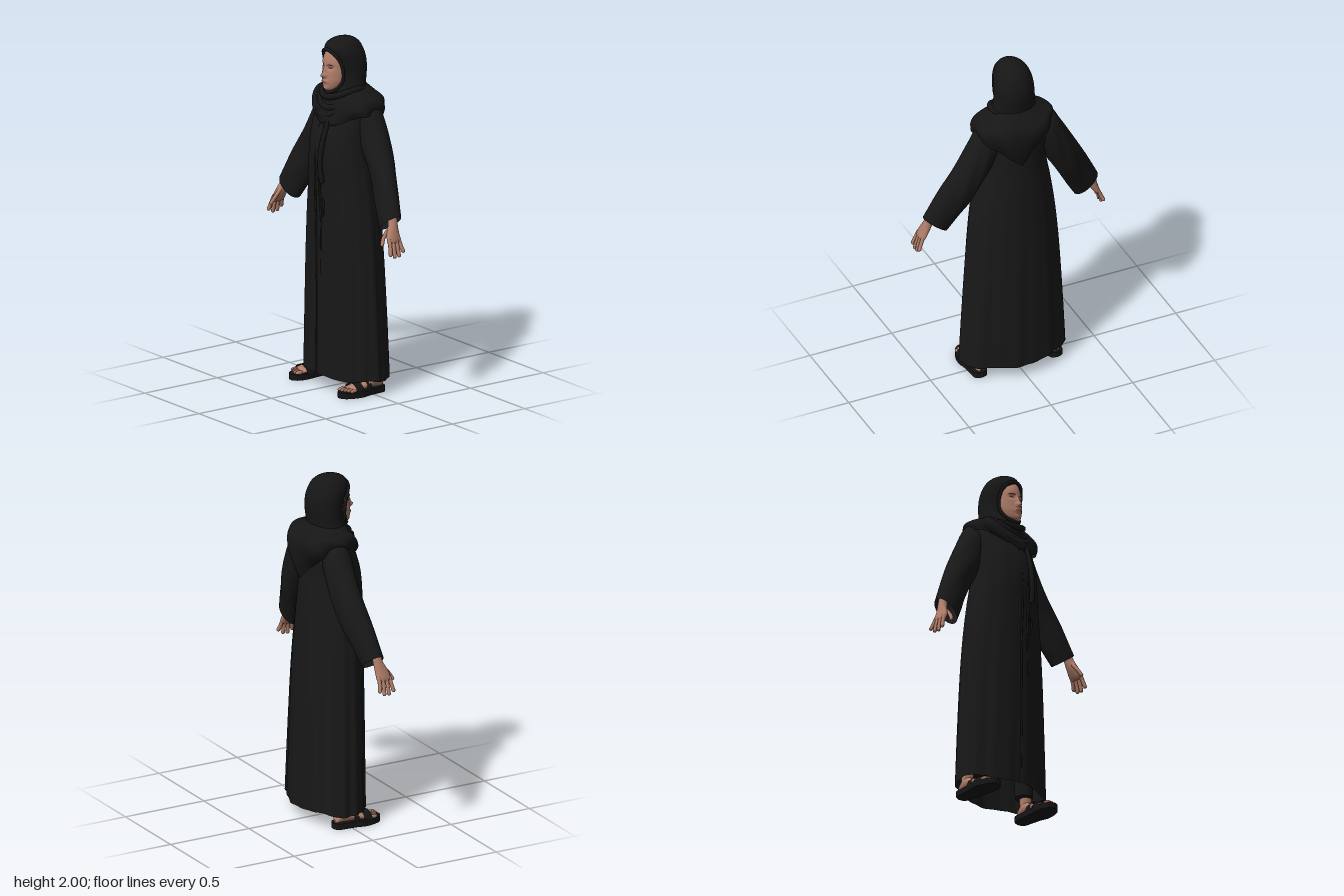
import * as THREE from 'three';

const V = (x, y, z) => new THREE.Vector3(x, y, z);
const paint = (name, color) => {
  const m = new THREE.MeshStandardMaterial({ color, side: THREE.DoubleSide });
  m.name = name;
  return m;
};

// Smoothly resample a short table of rows into n + 1 rows
function smooth(rows, n) {
  const at = i => rows[Math.min(Math.max(i, 0), rows.length - 1)];
  return Array.from({ length: n + 1 }, (_, k) => {
    const f = k / n * (rows.length - 1), i = Math.min(Math.floor(f), rows.length - 2), t = f - i;
    return at(i).map((b, c) => {
      const a = at(i - 1)[c], d = at(i + 1)[c], e = at(i + 2)[c];
      return b + 0.5 * t * (d - a + t * (2 * a - 5 * b + 4 * d - e + t * (3 * (b - d) + e - a)));
    });
  });
}

// Skin a surface over rows of points; point(row, angle, v) gives each vertex
function loft(rows, n, point) {
  const pos = [], idx = [];
  rows.forEach((row, j) => {
    for (let i = 0; i < n; i++) {
      pos.push(...point(row, i / n * Math.PI * 2, j / (rows.length - 1)));
      if (j === 0) continue;
      const a = (j - 1) * n + i, b = (j - 1) * n + (i + 1) % n;
      idx.push(a, b, a + n, b, b + n, a + n);
    }
  });
  const g = new THREE.BufferGeometry();
  g.setAttribute('position', new THREE.Float32BufferAttribute(pos, 3));
  g.setIndex(idx);
  g.computeVertexNormals();
  return g;
}

// Horizontal ring: half width, front z, back z; angle 90 degrees is the front
const ringXZ = (rx, zf, zb, a, k = 1) => {
  const round = v => Math.sign(v) * Math.pow(Math.abs(v), k);
  return [rx * round(Math.cos(a)), (zf + zb) / 2 + (zf - zb) / 2 * round(Math.sin(a))];
};

// Ring across a limb: outer edge x y, inner edge x y, centre z, half depth
const limbRing = ([ox, oy, ix, iy, cz, rz], a) => {
  const c = Math.cos(a) / 2;
  return [(ox + ix) / 2 + c * (ox - ix), (oy + iy) / 2 + c * (oy - iy), cz + rz * Math.sin(a)];
};

const tube = (pts, r, closed = false, seg = 40) =>
  new THREE.TubeGeometry(new THREE.CatmullRomCurve3(pts, closed), seg, r, 8, closed);

// Face relief: y, half width, front z
const faceRows = smooth([[1.945, 0.045, 0.104], [1.92, 0.066, 0.117], [1.88, 0.081, 0.128], [1.84, 0.086, 0.129],
  [1.80, 0.085, 0.131], [1.76, 0.078, 0.134], [1.72, 0.06, 0.13], [1.695, 0.035, 0.105]], 48);
const bump = (x, y, cx, cy, sx, sy) => Math.exp(-(((x - cx) / sx) ** 2) - ((y - cy) / sy) ** 2);
function faceZ(x, y) {
  const row = faceRows.reduce((p, q) => Math.abs(q[0] - y) < Math.abs(p[0] - y) ? q : p);
  const s = Math.min(Math.abs(x / row[1]), 1);
  return row[2] - 0.1 * (1 - Math.sqrt(1 - s * s))
    + 0.028 * bump(x, y, 0, 1.797, 0.014, 0.013) + 0.016 * bump(x, y, 0, 1.824, 0.01, 0.024)
    - 0.01 * bump(Math.abs(x), y, 0.032, 1.843, 0.018, 0.012)
    + 0.008 * bump(x, y, 0, 1.762, 0.026, 0.011) + 0.005 * bump(x, y, 0, 1.722, 0.02, 0.012);
}
function facePatch(cx, cy, w, h, bend = 0) {
  const g = new THREE.CircleGeometry(1, 18), p = g.attributes.position;
  for (let i = 0; i < p.count; i++) {
    const u = p.getX(i), x = cx + u * w, y = cy + p.getY(i) * h - bend * u * u;
    p.setXYZ(i, x, y, faceZ(x, y) + 0.003);
  }
  g.computeVertexNormals();
  return g;
}

export function createModel() {
  const model = new THREE.Group();
  const robe = paint('robe black', 0x181818), scarf = paint('scarf black', 0x161617);
  const skin = paint('skin', 0xb07d69), lip = paint('lips', 0x8f5850), dark = paint('brow brown', 0x3a2822);
  const leather = paint('sandal black', 0x151515);
  const add = (parent, name, geo, mat) => {
    const m = new THREE.Mesh(geo, mat);
    m.name = name;
    parent.add(m);
    return m;
  };

  // Robe: y, half width, front z, back z, fold strength
  const robeRows = smooth([[0.08, 0.31, 0.176, -0.194, 0.03], [0.4, 0.295, 0.176, -0.188, 0.025],
    [0.75, 0.275, 0.177, -0.18, 0.018], [1.0, 0.253, 0.178, -0.172, 0.012], [1.2, 0.225, 0.18, -0.163, 0.008],
    [1.32, 0.205, 0.188, -0.157, 0.006], [1.45, 0.2, 0.175, -0.152, 0.004], [1.56, 0.2, 0.14, -0.15, 0],
    [1.63, 0.19, 0.11, -0.13, 0], [1.68, 0.15, 0.07, -0.1, 0], [1.71, 0.08, 0.04, -0.07, 0]], 50);
  add(model, 'robe', loft(robeRows, 112, ([y, rx, zf, zb, f], a) => {
    const [x, z] = ringXZ(rx, zf, zb, a, 1.04);
    const k = 1 + f * (0.6 * Math.sin(9 * a + 1) + 0.5 * Math.sin(17 * a + y));
    return [x * k + 0.007 * (1.7 - y) / 1.6, y + (y < 0.1 ? 0.006 * Math.sin(5 * a) : 0), z * k];
  }), robe);

  // Overlapping front edges of the robe
  for (const x of [-0.016, 0.022]) {
    add(model, 'frontEdge', tube([V(x, 1.52, 0.152), V(x, 1.32, 0.185), V(x * 1.2, 0.9, 0.176),
      V(x, 0.5, 0.174), V(x * 1.4, 0.09, 0.173)], 0.006), robe);
  }

  // Shoulder wrap with a pointed back: half width, front z, back z, then y at side, front, back
  const wrapRows = smooth([[0.1, 0.09, -0.11, 1.735, 1.68, 1.74], [0.168, 0.128, -0.155, 1.702, 1.63, 1.685],
    [0.216, 0.15, -0.195, 1.68, 1.565, 1.61], [0.232, 0.152, -0.192, 1.645, 1.53, 1.5],
    [0.222, 0.138, -0.16, 1.605, 1.515, 1.41]], 24);
  add(model, 'shoulderWrap', loft(wrapRows, 96, ([rx, zf, zb, ys, yf, yb], a, v) => {
    const s = Math.sin(a), w = 0.008 * v * Math.sin(7 * a + 6 * v);
    const [x, z] = ringXZ(rx + w, zf + w, zb - w, a, s < 0 ? 0.88 : 1);
    const drop = s > 0 ? (yf - ys) * s ** 3 : (yb - ys) * (1 - Math.abs(Math.cos(a)) ** 0.88);
    return [x + 0.018 * v, ys + drop - 0.012 * v * Math.cos(a), z];
  }), scarf);

  // Head covering: y, half width, front z, back z
  const hoodRows = smooth([[2.0, 0.001, 0.006, 0.004], [1.994, 0.04, 0.058, -0.045], [1.97, 0.076, 0.102, -0.085],
    [1.93, 0.1, 0.114, -0.11], [1.88, 0.111, 0.098, -0.125], [1.82, 0.115, 0.08, -0.128],
    [1.76, 0.12, 0.076, -0.119], [1.72, 0.127, 0.09, -0.115], [1.68, 0.135, 0.112, -0.125],
    [1.61, 0.14, 0.13, -0.14]], 36);
  add(model, 'headScarf', loft(hoodRows, 48, ([y, rx, zf, zb], a) => {
    const [x, z] = ringXZ(rx, zf, zb, a);
    return [x, y, z];
  }), scarf);
  const rim = [[0, 1.942, 0.114], [0.045, 1.926, 0.106], [0.073, 1.885, 0.082], [0.081, 1.82, 0.064],
    [0.074, 1.765, 0.066], [0.05, 1.72, 0.09], [0, 1.698, 0.116]];
  const rimLoop = [...rim, ...rim.slice(1, -1).reverse().map(([x, y, z]) => [-x, y, z])];
  add(model, 'scarfRim', tube(rimLoop.map(p => V(...p)), 0.01, true, 80), scarf);

  // Scarf folds around the neck: side y, front drop, half width, front z, back z, sideways tilt
  for (const [y, drop, rx, zf, zb, tilt] of [[1.705, 0.035, 0.122, 0.112, -0.1, 0.014],
    [1.685, 0.07, 0.134, 0.128, -0.115, -0.016], [1.665, 0.1, 0.146, 0.137, -0.12, 0.012],
    [1.65, 0.115, 0.125, 0.138, -0.11, -0.012]]) {
    const pts = Array.from({ length: 24 }, (_, i) => {
      const a = i / 24 * Math.PI * 2, [x, z] = ringXZ(rx, zf, zb, a);
      return V(x, y - drop * Math.max(Math.sin(a), 0) ** 2 + tilt * Math.cos(a), z);
    });
    add(model, 'neckFold', tube(pts, 0.019, true, 72), scarf);
  }

  // Hanging scarf end and cord
  add(model, 'scarfEnd', tube([V(0.05, 1.55, 0.145), V(0.045, 1.42, 0.184), V(0.045, 1.3, 0.2),
    V(0.05, 1.2, 0.19)], 0.015), scarf);
  add(model, 'cord', tube([V(0.05, 1.22, 0.19), V(0.025, 1.14, 0.188), V(0.055, 1.08, 0.182),
    V(0.045, 1.0, 0.181)], 0.006), scarf);

  // Face, stopping just behind the scarf rim
  const face = new THREE.PlaneGeometry(1, 1, 40, 48), fp = face.attributes.position;
  for (let i = 0; i < fp.count; i++) {
    const [y, w] = faceRows[Math.floor(i / 41)];
    const x = w * Math.sin((i % 41 / 40 - 0.5) * Math.PI * 0.8);
    fp.setXYZ(i, x, y, faceZ(x, y));
  }
  face.computeVertexNormals();
  add(model, 'face', face, skin);
  add(model, 'lips', facePatch(0, 1.762, 0.022, 0.006), lip);
  for (const s of [-1, 1]) {
    add(model, 'eye', facePatch(s * 0.032, 1.842, 0.014, 0.004), dark);
    add(model, 'eyebrow', facePatch(s * 0.034, 1.86, 0.02, 0.0035, 0.004), dark);
  }

  // Arms, hands, legs and sandals, mirrored for the right side
  const sleeveRows = smooth([[0.14, 1.66, 0.15, 1.42, -0.045, 0.07], [0.215, 1.655, 0.188, 1.33, -0.042, 0.08],
    [0.275, 1.56, 0.228, 1.265, -0.04, 0.078], [0.365, 1.4, 0.285, 1.165, -0.028, 0.073],
    [0.45, 1.245, 0.335, 1.075, 0.0, 0.065], [0.53, 1.085, 0.392, 0.98, 0.025, 0.056]], 30);
  const palmRows = smooth([[0.505, 1.11, 0.455, 1.088, 0.028, 0.026], [0.522, 1.052, 0.475, 1.03, 0.036, 0.028],
    [0.536, 1.005, 0.493, 0.985, 0.048, 0.039], [0.55, 0.957, 0.519, 0.943, 0.054, 0.044],
    [0.544, 0.935, 0.534, 0.931, 0.054, 0.03]], 16);
  const footRows = smooth([[-0.088, 0.008, 0.05], [-0.075, 0.027, 0.075], [-0.03, 0.036, 0.11],
    [0.03, 0.043, 0.085], [0.09, 0.051, 0.066], [0.14, 0.05, 0.05], [0.155, 0.034, 0.04]], 20);
  const outline = new THREE.Shape();
  outline.moveTo(0, -0.1);
  outline.splineThru([[0.036, -0.085], [0.044, -0.04], [0.05, 0.03], [0.061, 0.08], [0.052, 0.14], [0.028, 0.185],
    [-0.012, 0.2], [-0.045, 0.175], [-0.057, 0.12], [-0.048, 0.03], [-0.042, -0.04], [-0.035, -0.085], [0, -0.1]]
    .map(p => new THREE.Vector2(...p)));

  for (const s of [1, -1]) {
    const side = new THREE.Group();
    side.name = s > 0 ? 'leftLimbs' : 'rightLimbs';
    side.scale.x = s;
    model.add(side);
    add(side, 'sleeve', loft(sleeveRows, 36, (row, a, v) => {
      const k = 1 + 0.04 * Math.sin(5 * a + 14 * v) * Math.sin(v * Math.PI);
      return limbRing([...row.slice(0, 5), row[5] * k], a);
    }), robe);

    add(side, 'palm', loft(palmRows, 20, limbRing), skin);
    const digits = [0, 1, 2, 3].map(i => [V(0.532, 0.968, 0.085 - 0.021 * i),
      V(0.552, 0.918, 0.092 - 0.025 * i), V(0.562, [0.888, 0.873, 0.875, 0.896][i], 0.098 - 0.029 * i)]);
    digits.push([V(0.498, 1.02, 0.058), V(0.5, 0.972, 0.1), V(0.512, 0.938, 0.119)]);
    for (const pts of digits) {
      add(side, 'finger', tube(pts, 0.011, false, 10), skin);
      add(side, 'fingertip', new THREE.SphereGeometry(0.011, 10, 8), skin).position.copy(pts[2]);
    }

    const foot = new THREE.Group();
    foot.name = 'foot';
    foot.position.x = 0.23;
    side.add(foot);
    const sole = new THREE.ExtrudeGeometry(outline, { depth: 0.034, bevelEnabled: false, curveSegments: 4 });
    add(foot, 'sole', sole.rotateX(Math.PI / 2).translate(0, 0.034, 0), leather);
    add(foot, 'bareFoot', loft(footRows, 20, ([z, w, top], a) =>
      [w * Math.cos(a), (top + 0.03) / 2 + (top - 0.03) / 2 * Math.sin(a), z]), skin);
    for (let i = 0; i < 5; i++) {
      const toe = add(foot, 'toe', new THREE.SphereGeometry(1, 10, 8), skin);
      toe.scale.set(i ? 0.0095 : 0.014, 0.012, 0.026);
      toe.position.set(-0.034 + i * 0.018 + (i ? 0.004 : 0), 0.041, 0.162 - Math.max(i - 1, 0) * 0.009);
    }
    for (const [z, w, h, len] of [[0.098, 0.06, 0.047, 0.05], [0.03, 0.051, 0.064, 0.03]]) {
      const strap = new THREE.CylinderGeometry(1, 1, len, 18, 1, true, Math.PI / 2, Math.PI);
      add(foot, 'strap', strap.rotateX(Math.PI / 2).scale(w, h, 1).translate(0, 0.028, z), leather);
    }
    add(foot, 'ankle', new THREE.CylinderGeometry(0.036, 0.032, 0.1, 16).translate(0, 0.13, -0.035), skin);
    add(foot, 'trouserLeg', new THREE.CylinderGeometry(0.055, 0.05, 0.3, 20).translate(-0.02, 0.28, -0.03), robe);
  }
  return model;
}
